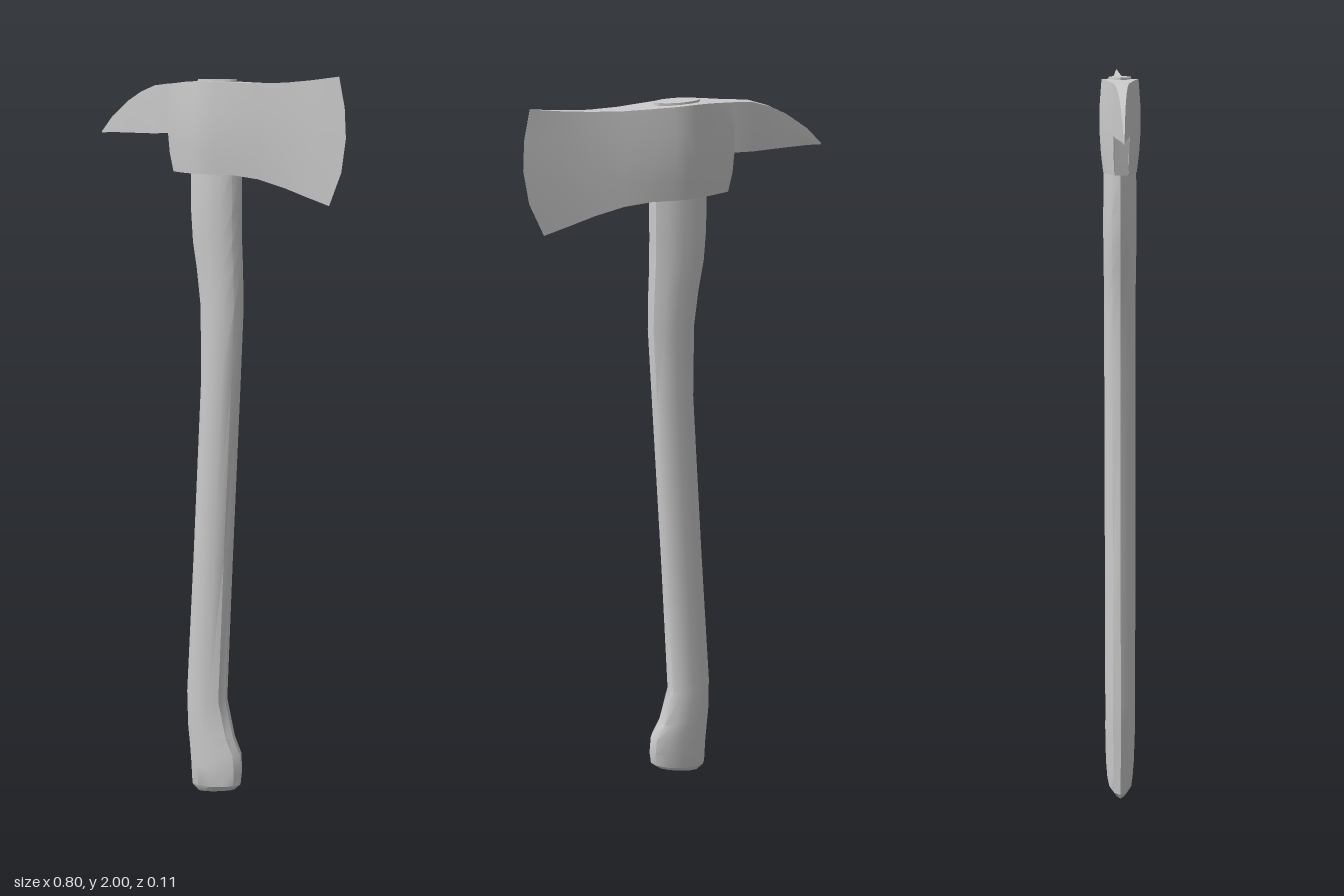
import * as THREE from 'three';
import { toCreasedNormals } from 'three/addons/utils/BufferGeometryUtils.js';

// Skin a list of closed rings (counter-clockwise seen from the far end) and cap both ends
function loft(rings, crease) {
  const n = rings[0].length;
  const last = (rings.length - 1) * n;
  const index = [];
  for (let i = 0; i < rings.length - 1; i++) {
    for (let j = 0; j < n; j++) {
      const k = (j + 1) % n;
      const a = i * n + j, b = i * n + k, c = b + n, d = a + n;
      index.push(a, b, c, a, c, d);
    }
  }
  for (let j = 1; j < n - 1; j++) {
    index.push(0, j + 1, j, last, last + j, last + j + 1);
  }
  const geo = new THREE.BufferGeometry();
  geo.setAttribute('position', new THREE.Float32BufferAttribute(rings.flat(2), 3));
  geo.setIndex(index);
  return toCreasedNormals(geo, crease);
}

// Curved oval handle; each section: [left y, left x, right y, right x, half depth]
function handleGeometry() {
  const sections = [
    [0.0, -0.068, 0.033, 0.06, 0.02],
    [0.02, -0.088, 0.052, 0.08, 0.036],
    [0.09, -0.091, 0.09, 0.084, 0.04],
    [0.14, -0.095, 0.14, 0.08, 0.041],
    [0.2, -0.1, 0.185, 0.055, 0.042],
    [0.3, -0.101, 0.29, 0.027, 0.042],
    [0.7, -0.076, 0.7, 0.045, 0.042],
    [1.2, -0.048, 1.2, 0.07, 0.042],
    [1.4, -0.05, 1.4, 0.08, 0.042],
    [1.5, -0.063, 1.5, 0.078, 0.043],
    [1.57, -0.076, 1.57, 0.075, 0.044],
    [1.65, -0.082, 1.65, 0.074, 0.044],
    [1.77, -0.083, 1.77, 0.074, 0.042],
    [1.993, -0.062, 1.993, 0.06, 0.029], // end showing through the head
  ];
  const sides = 12;
  const rings = sections.map(([yl, xl, yr, xr, hz]) => {
    const ring = [];
    for (let j = 0; j < sides; j++) {
      const a = (j / sides) * Math.PI * 2;
      const t = (Math.cos(a) + 1) / 2;
      ring.push([xl + (xr - xl) * t, yl + (yr - yl) * t, -hz * Math.sin(a)]);
    }
    return ring;
  });
  return loft(rings, 0.6);
}

// Axe head: spike, step, eye and flared blade
function headGeometry() {
  const seam = 1.85;
  const widths = [0.9, 1, 1, 0.94, 0.83];           // bulge from top row to bottom row
  const edge = [-0.022, -0.005, 0, -0.012, -0.047]; // curve of the cutting edge
  // [x, top y, bottom y, half thickness, share of edge curve]
  const stations = [
    [-0.4, 1.852, 1.848, 0.001, 0],
    [-0.36, 1.893, seam, 0.003, 0],
    [-0.3, 1.935, seam, 0.007, 0],
    [-0.25, 1.96, seam, 0.011, 0],
    [-0.2, 1.976, seam, 0.016, 0],
    [-0.15, 1.981, 1.853, 0.021, 0],
    [-0.149, 1.981, 1.752, 0.021, -0.3], // step under the spike
    [-0.08, 1.986, 1.75, 0.037, 0],
    [-0.035, 1.988, 1.75, 0.049, 0],
    [-0.01, 1.988, 1.75, 0.053, 0],
    [0.02, 1.987, 1.75, 0.051, 0],
    [0.08, 1.985, 1.75, 0.042, 0],
    [0.15, 1.983, 1.742, 0.029, 0.05],
    [0.23, 1.985, 1.722, 0.014, 0.15],
    [0.31, 1.991, 1.702, 0.008, 0.5],
    [0.4, 2.0, 1.682, 0.001, 1],
  ];
  const rings = stations.map(([x, top, bottom, w, skew]) => {
    const s = Math.max(Math.min(seam, top), bottom);
    const ys = [top, (top + s) / 2, s, (s + bottom) / 2, bottom];
    const front = ys.map((y, r) => [x + skew * edge[r], y, w * widths[r]]);
    const back = front.map(([px, py, pz]) => [px, py, -pz]).reverse();
    return [...front, ...back];
  });
  return loft(rings, 0.5);
}

export function createModel() {
  const group = new THREE.Group();
  group.name = 'axe';
  const material = new THREE.MeshStandardMaterial({ color: 0xcccccc });
  const parts = { handle: handleGeometry(), head: headGeometry() };
  for (const [name, geometry] of Object.entries(parts)) {
    const mesh = new THREE.Mesh(geometry, material);
    mesh.name = name;
    group.add(mesh);
  }
  return group;
}
